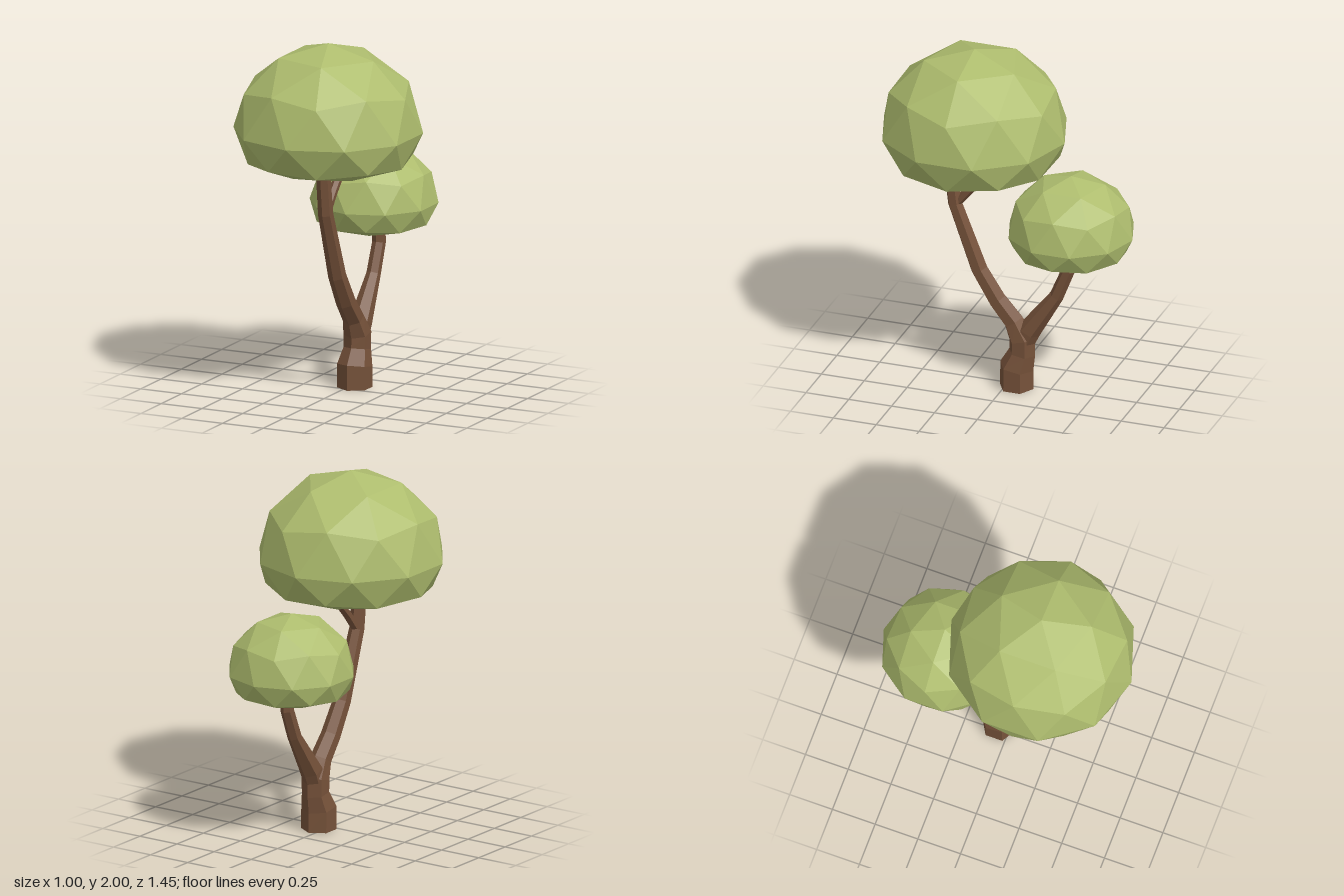
import * as THREE from 'three';

const SIDES = 6;
const BRANCH_X = 0.033;

// Tapered hexagonal limb along [z, y, radius] points
function limbGeometry(points) {
  const centres = points.map(([z, y]) => new THREE.Vector3(BRANCH_X, y, z));
  const verts = [], index = [];
  const direction = (a, b) => centres[b].clone().sub(centres[a]).normalize();
  const last = centres.length - 1;
  centres.forEach((c, i) => {
    const t = new THREE.Vector3();
    if (i > 0) t.add(direction(i - 1, i));
    if (i < last) t.add(direction(i, i + 1));
    t.normalize();
    const r = points[i][2];
    for (let j = 0; j < SIDES; j++) {
      const a = (j / SIDES) * Math.PI * 2;
      const u = r * Math.cos(a);
      verts.push(c.x + r * Math.sin(a), c.y - t.z * u, c.z + t.y * u);
    }
  });
  for (let i = 0; i < last; i++) {
    for (let j = 0; j < SIDES; j++) {
      const k = (j + 1) % SIDES, a = i * SIDES, b = a + SIDES;
      index.push(a + j, a + k, b + k, a + j, b + k, b + j);
    }
  }
  // End caps
  for (let j = 1; j < SIDES - 1; j++) {
    const b = last * SIDES;
    index.push(0, j + 1, j, b, b + j, b + j + 1);
  }
  const indexed = new THREE.BufferGeometry();
  indexed.setAttribute('position', new THREE.Float32BufferAttribute(verts, 3));
  indexed.setIndex(index);
  const geometry = indexed.toNonIndexed();
  geometry.computeVertexNormals();
  return geometry;
}

// Faceted dome with a squashed, nearly flat underside; unit radius
function crownGeometry() {
  const geometry = new THREE.IcosahedronGeometry(1, 1);
  geometry.rotateX(-Math.atan((1 + Math.sqrt(5)) / 2)); // one corner points up
  geometry.rotateY(Math.PI / 2);
  const p = geometry.attributes.position;
  for (let i = 0; i < p.count; i++) {
    const y = p.getY(i);
    p.setY(i, y > 0 ? y * 0.93 : Math.sin(y * 1.65) * 0.44);
  }
  geometry.computeVertexNormals();
  return geometry;
}

export function createModel() {
  const bark = new THREE.MeshStandardMaterial({ color: 0x76523a });
  bark.name = 'bark brown';
  const leaf = new THREE.MeshStandardMaterial({ color: 0xaebd6e });
  leaf.name = 'leaf green';

  const tree = new THREE.Group();
  tree.name = 'tree';
  const add = (name, geometry, material) => {
    const mesh = new THREE.Mesh(geometry, material);
    mesh.name = name;
    tree.add(mesh);
    return mesh;
  };

  // Trunk runs on into the tall front branch
  add('trunk', limbGeometry([
    [-0.0625, 0, 0.0975], [-0.0625, 0.125, 0.0975], [-0.094, 0.215, 0.076],
    [-0.095, 0.30, 0.077], [-0.045, 0.395, 0.06], [0.05, 0.51, 0.055],
    [0.155, 0.68, 0.05], [0.297, 1.06, 0.042], [0.325, 1.28, 0.04], [0.33, 1.36, 0.038],
  ]), bark);
  add('backBranch', limbGeometry([
    [-0.10, 0.27, 0.06], [-0.135, 0.355, 0.064], [-0.295, 0.59, 0.04],
    [-0.362, 0.755, 0.038], [-0.36, 0.92, 0.035],
  ]), bark);
  add('twig', limbGeometry([
    [0.29, 1.06, 0.025], [0.21, 1.16, 0.026], [0.095, 1.28, 0.026], [0.04, 1.34, 0.026],
  ]), bark);

  // Crowns
  const frontCrown = add('frontCrown', crownGeometry(), leaf);
  frontCrown.scale.setScalar(0.527);
  frontCrown.position.set(0, 1.51, 0.197);
  const backCrown = add('backCrown', crownGeometry(), leaf);
  backCrown.scale.setScalar(0.358);
  backCrown.position.set(0, 0.985, -0.368);
  backCrown.rotation.y = Math.PI;

  return tree;
}
